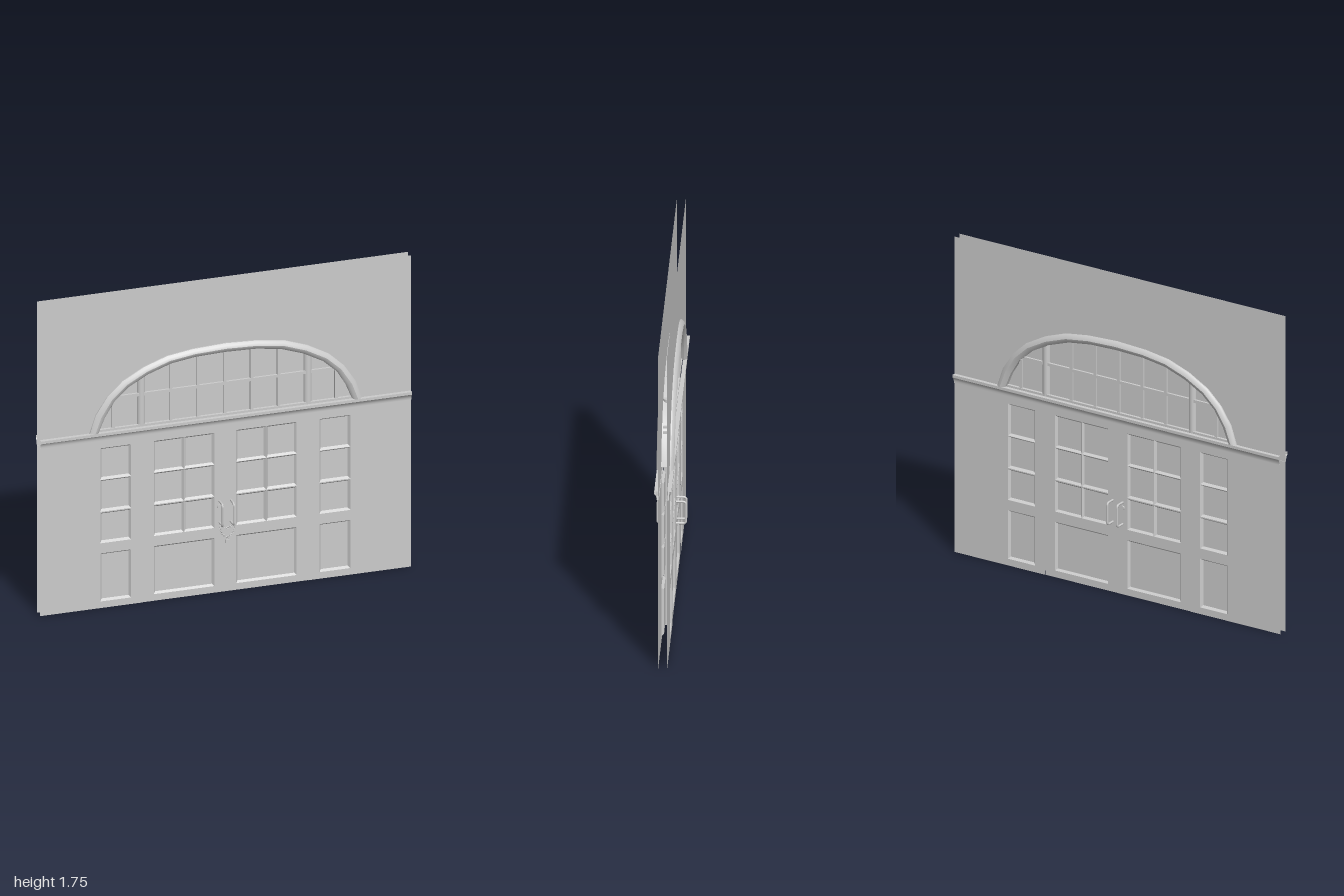
import * as THREE from 'three';
import { toCreasedNormals } from 'three/addons/utils/BufferGeometryUtils.js';

const V = (x, y, z) => new THREE.Vector3(x, y, z);
const mat = new THREE.MeshStandardMaterial({ color: 0xcccccc, side: THREE.DoubleSide });
const WALL = 0.023, DOOR = 0.021, PANE = 0.009, BEVEL = 0.01;

// Inner and outer outline of the left half of the arch, foot to crown
const INNER = [[-0.685, 0.99], [-0.652, 1.07], [-0.6, 1.155], [-0.524, 1.225], [-0.417, 1.283], [-0.294, 1.326], [-0.16, 1.345], [0, 1.35]];
const OUTER = [[-0.733, 0.99], [-0.7, 1.09], [-0.636, 1.187], [-0.556, 1.262], [-0.44, 1.326], [-0.315, 1.37], [-0.176, 1.39], [0, 1.398]];
const mirror = pts => [...pts, ...pts.slice(0, -1).reverse().map(([x, y]) => [-x, y])];

function add(parent, name, geo, x = 0, y = 0, z = 0) {
  const m = new THREE.Mesh(geo, mat);
  m.name = name;
  m.position.set(x, y, z);
  parent.add(m);
  return m;
}

// Surface through equal-length rows of points
function loft(rows) {
  const n = rows[0].length, idx = [];
  for (let i = 0; i < rows.length - 1; i++)
    for (let j = 0; j < n - 1; j++) {
      const a = i * n + j, d = a + n;
      idx.push(a, a + 1, d + 1, a, d + 1, d);
    }
  const g = new THREE.BufferGeometry().setFromPoints(rows.flat());
  g.setIndex(idx);
  return toCreasedNormals(g, 0.6);
}

const ring = ([x0, x1, y0, y1], z, inset = 0) => [[x0 + inset, y0 + inset], [x1 - inset, y0 + inset],
  [x1 - inset, y1 - inset], [x0 + inset, y1 - inset], [x0 + inset, y0 + inset]].map(([x, y]) => V(x, y, z));
const outline = pts => pts.map(([x, y]) => new THREE.Vector2(x, y));
const rectPath = ([x0, x1, y0, y1]) => new THREE.Path(outline([[x0, y0], [x1, y0], [x1, y1], [x0, y1]]));

// Bevelled recess with its pane
function recess(parent, name, r, z) {
  add(parent, name + 'Bevel', loft([ring(r, z), ring(r, PANE, BEVEL)]));
  const [x0, x1, y0, y1] = r;
  add(parent, name, new THREE.PlaneGeometry(x1 - x0 - 2 * BEVEL, y1 - y0 - 2 * BEVEL),
    (x0 + x1) / 2, (y0 + y1) / 2, PANE);
}

// Panes and lower panel for the given columns
const ROWS = [[0.72, 0.898], [0.541, 0.718], [0.364, 0.535]];
const LOWER = [0.037, 0.307];
const panels = (cols) => [
  ...cols.flatMap(([a, b]) => ROWS.map(([c, d]) => [a, b, c, d])),
  [cols[0][0], cols[cols.length - 1][1], ...LOWER],
];
const flip = ([a, b, c, d]) => [-b, -a, c, d];

// Everything on one face of the wall
function buildFace(name) {
  const face = new THREE.Group();
  face.name = name;

  // Wall sheet with doorway, arch and sidelight openings
  const side = panels([[-0.674, -0.508]]);
  const lights = [...side, ...side.map(flip)];
  const wall = new THREE.Shape(outline([[-1, 0], [-0.445, 0], [-0.445, 0.94], [0.445, 0.94], [0.445, 0], [1, 0], [1, 1.75], [-1, 1.75]]));
  wall.holes.push(new THREE.Path(outline(mirror(INNER))), ...lights.map(rectPath));
  add(face, 'wall', new THREE.ShapeGeometry(wall), 0, 0, WALL);
  lights.forEach(r => recess(face, 'sidelightPanel', r, WALL));

  // Door faces
  const left = panels([[-0.385, -0.223], [-0.221, -0.059]]);
  for (const rects of [left, left.map(flip)]) {
    const x0 = rects === left ? -0.445 : 0;
    const door = new THREE.Shape(rectPath([x0, x0 + 0.445, 0, 0.94]).getPoints());
    door.holes.push(...rects.map(rectPath));
    add(face, 'doorFace', new THREE.ShapeGeometry(door), 0, 0, DOOR);
    rects.forEach(r => recess(face, 'doorPanel', r, DOOR));
  }

  // Cornice across the wall
  const cornice = [[0.99, WALL], [0.99, 0.044], [0.975, 0.044], [0.968, 0.037], [0.952, 0.031], [0.942, 0.031], [0.942, 0.02]];
  add(face, 'cornice', loft([-1, 1].map(x => cornice.map(([y, z]) => V(x, y, z)))));

  // Arch moulding, section running from the outer edge to the inner reveal
  const section = [[1, WALL], [1, 0.03], [0.8, 0.041], [0.5, 0.046], [0.2, 0.041], [0, 0.03], [0, 0]];
  const inn = mirror(INNER), out = mirror(OUTER);
  add(face, 'archMoulding', loft(inn.map(([x, y], i) => section.map(([t, z]) =>
    V(x + (out[i][0] - x) * t, y + (out[i][1] - y) * t, z)))));

  // Fanlight glass
  add(face, 'fanlightPane', new THREE.ShapeGeometry(new THREE.Shape(outline(inn))), 0, 0, 0.005);
  return face;
}

// Height of the arch opening at x
function archHeight(x) {
  const i = INNER.findIndex(p => p[0] >= -Math.abs(x));
  const [a, b] = [INNER[i - 1], INNER[i]];
  return a[1] + (b[1] - a[1]) * (-Math.abs(x) - a[0]) / (b[0] - a[0]);
}

function buildFanlight() {
  const g = new THREE.Group();
  g.name = 'fanlight';
  for (const x of [-0.6, -0.29, -0.145, 0, 0.145, 0.29, 0.6]) {
    const h = archHeight(x) - 0.985;
    add(g, 'mullion', new THREE.BoxGeometry(0.016, h, 0.034), x, 0.985 + h / 2, 0);
  }
  for (const x of [-0.449, 0.449]) {
    const h = archHeight(x) - 0.98;
    add(g, 'post', new THREE.CylinderGeometry(0.022, 0.022, h, 16), x, 0.985 + h / 2, 0);
  }
  add(g, 'crossBar', new THREE.BoxGeometry(1.18, 0.016, 0.034), 0, 1.168, 0);
  add(g, 'sill', new THREE.BoxGeometry(1.36, 0.014, 0.04), 0, 0.993, 0);
  return g;
}

// Rounded rectangular pull running through the door
function handleGeometry() {
  const path = new THREE.CurvePath(), r = 0.015, w = 0.073, h = 0.06;
  const corners = [[w, h], [-w, h], [-w, -h], [w, -h]];
  const at = (i, j, d) => {
    const [a, b] = [corners[i % 4], corners[j % 4]];
    return V(0, a[1] + Math.sign(b[1] - a[1]) * d, a[0] + Math.sign(b[0] - a[0]) * d);
  };
  for (let i = 0; i < 4; i++) {
    path.add(new THREE.LineCurve3(at(i, i + 1, r), at(i + 1, i, r)));
    const c = corners[(i + 1) % 4];
    path.add(new THREE.QuadraticBezierCurve3(at(i + 1, i, r), V(0, c[1], c[0]), at(i + 1, i + 2, r)));
  }
  return new THREE.TubeGeometry(path, 96, 0.006, 8, true);
}

// Chain of links hung between the pulls, with a padlock
function buildChain() {
  const g = new THREE.Group();
  g.name = 'chain';
  const curve = new THREE.CatmullRomCurve3([V(-0.038, 0.385, 0.055), V(0, 0.374, 0.06), V(0.038, 0.385, 0.055),
    V(0.03, 0.345, 0.058), V(0, 0.322, 0.058), V(-0.03, 0.345, 0.058)], true);
  const count = 24, link = new THREE.TorusGeometry(0.0045, 0.0015, 6, 12).scale(1.4, 1, 1);
  for (let i = 0; i < count; i++) {
    const m = add(g, 'link', link);
    m.position.copy(curve.getPointAt(i / count));
    m.quaternion.setFromUnitVectors(V(1, 0, 0), curve.getTangentAt(i / count));
    m.rotateX((i % 2) * Math.PI / 2);
  }
  add(g, 'padlock', new THREE.BoxGeometry(0.018, 0.02, 0.01), 0, 0.298, 0.057);
  add(g, 'shackle', new THREE.TorusGeometry(0.0065, 0.002, 6, 12, Math.PI).scale(1, 1.8, 1), 0, 0.308, 0.057);
  return g;
}

export function createModel() {
  const model = new THREE.Group();
  model.name = 'doorway';
  const back = buildFace('backFace');
  back.rotation.y = Math.PI;
  model.add(buildFace('frontFace'), back, buildFanlight(), buildChain());

  // Door edges, pulls and lock
  for (const s of [-1, 1]) {
    const r = s < 0 ? [-0.445, 0, 0, 0.94] : [0, 0.445, 0, 0.94];
    add(model, 'doorEdge', loft([ring(r, -DOOR), ring(r, DOOR)]));
    add(model, 'pullHandle', handleGeometry(), s * 0.03, 0.45, 0);
  }
  add(model, 'lock', new THREE.CylinderGeometry(0.012, 0.012, 0.056, 16).rotateX(Math.PI / 2), -0.031, 0.48, 0);
  return model;
}
